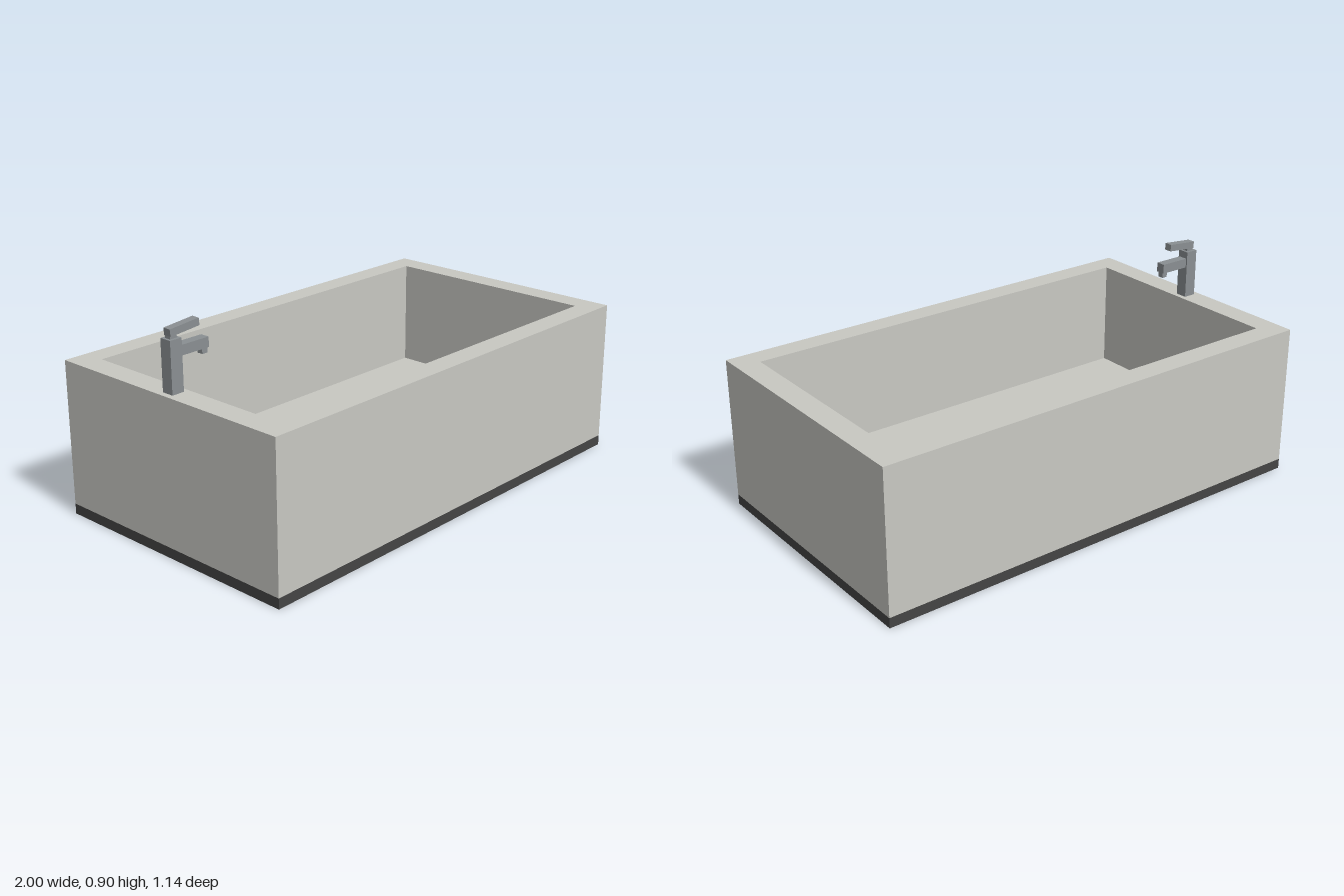
import * as THREE from 'three';

const HX = 1, HZ = 0.57, IX = 0.9, IZ = 0.473;      // outer and inner half sizes
const BASE = 0.043, TOP = 0.645, FLOOR = 0.188;     // heights

function material(name, color, side = THREE.FrontSide) {
  const m = new THREE.MeshStandardMaterial({ color, side });
  m.name = name;
  return m;
}

// Four upright walls of a box, open above and below
function walls(hx, hz, y0, y1) {
  const g = new THREE.BoxGeometry(hx * 2, y1 - y0, hz * 2);
  const idx = Array.from(g.index.array);
  g.setIndex([...idx.slice(0, 12), ...idx.slice(24)]);
  g.clearGroups();
  return g.translate(0, (y0 + y1) / 2, 0);
}

function rect(Type, x0, x1, z0, z1) {
  const r = new Type();
  r.moveTo(x0, z0).lineTo(x1, z0).lineTo(x1, z1).lineTo(x0, z1).closePath();
  return r;
}

// Flat horizontal sheet with a rectangular opening
function sheet(hx, hz, hole, y) {
  const s = rect(THREE.Shape, -hx, hx, -hz, hz);
  s.holes.push(rect(THREE.Path, ...hole));
  return new THREE.ShapeGeometry(s).rotateX(-Math.PI / 2).translate(0, y, 0);
}

export function createModel() {
  const model = new THREE.Group();
  model.name = 'bathtub';
  const stone = material('warm grey stone', 0xc8c8c2, THREE.DoubleSide);
  const plinth = material('charcoal plinth', 0x444444, THREE.DoubleSide);
  const metal = material('brushed metal', 0x8a8f92);
  const black = material('black drain', 0x222222, THREE.DoubleSide);

  const add = (parent, name, geometry, mat) => {
    const mesh = new THREE.Mesh(geometry, mat);
    mesh.name = name;
    parent.add(mesh);
    return mesh;
  };
  const box = (parent, name, mat, x0, x1, y0, y1, hz) => add(parent, name,
    new THREE.BoxGeometry(x1 - x0, y1 - y0, hz * 2).translate((x0 + x1) / 2, (y0 + y1) / 2, 0), mat);

  // Hollow tub shell, open underneath
  add(model, 'plinth', walls(HX, HZ, 0, BASE), plinth);
  add(model, 'outerWalls', walls(HX, HZ, BASE, TOP), stone);
  add(model, 'rim', sheet(HX, HZ, [-IX, IX, -IZ, IZ], TOP), stone);
  add(model, 'innerWalls', walls(IX, IZ, FLOOR, TOP), stone);

  // Floor with a shallow raised drain cover
  const dx = -0.753, dw = 0.092, dd = 0.12, lift = 0.015;
  add(model, 'floor', sheet(IX, IZ, [dx - dw, dx + dw, -dd, dd], FLOOR), stone);
  const drain = new THREE.Group();
  drain.name = 'drain';
  drain.position.set(dx, FLOOR, 0);
  model.add(drain);
  const cover = () => new THREE.PlaneGeometry(dw * 2, dd * 2).rotateX(-Math.PI / 2);
  add(drain, 'drainSides', walls(dw, dd, 0, lift), black);
  add(drain, 'drainCover', cover().translate(0, lift, 0), black);
  add(drain, 'drainUnderside', cover().translate(0, lift - 0.003, 0), stone);

  // Tap on the end rim
  const tap = new THREE.Group();
  tap.name = 'tap';
  model.add(tap);
  box(tap, 'tapPost', metal, -0.976, -0.922, TOP, 0.85, 0.026);
  box(tap, 'tapNeck', metal, -0.965, -0.933, 0.85, 0.87, 0.013);
  box(tap, 'tapSpout', metal, -0.922, -0.79, 0.78, 0.82, 0.02);
  box(tap, 'spoutOutlet', metal, -0.817, -0.792, 0.758, 0.78, 0.013);
  const lever = add(tap, 'tapLever', new THREE.BoxGeometry(0.137, 0.029, 0.034), metal);
  lever.position.set(-0.898, 0.88, 0);
  lever.rotation.z = 0.09;

  return model;
}
